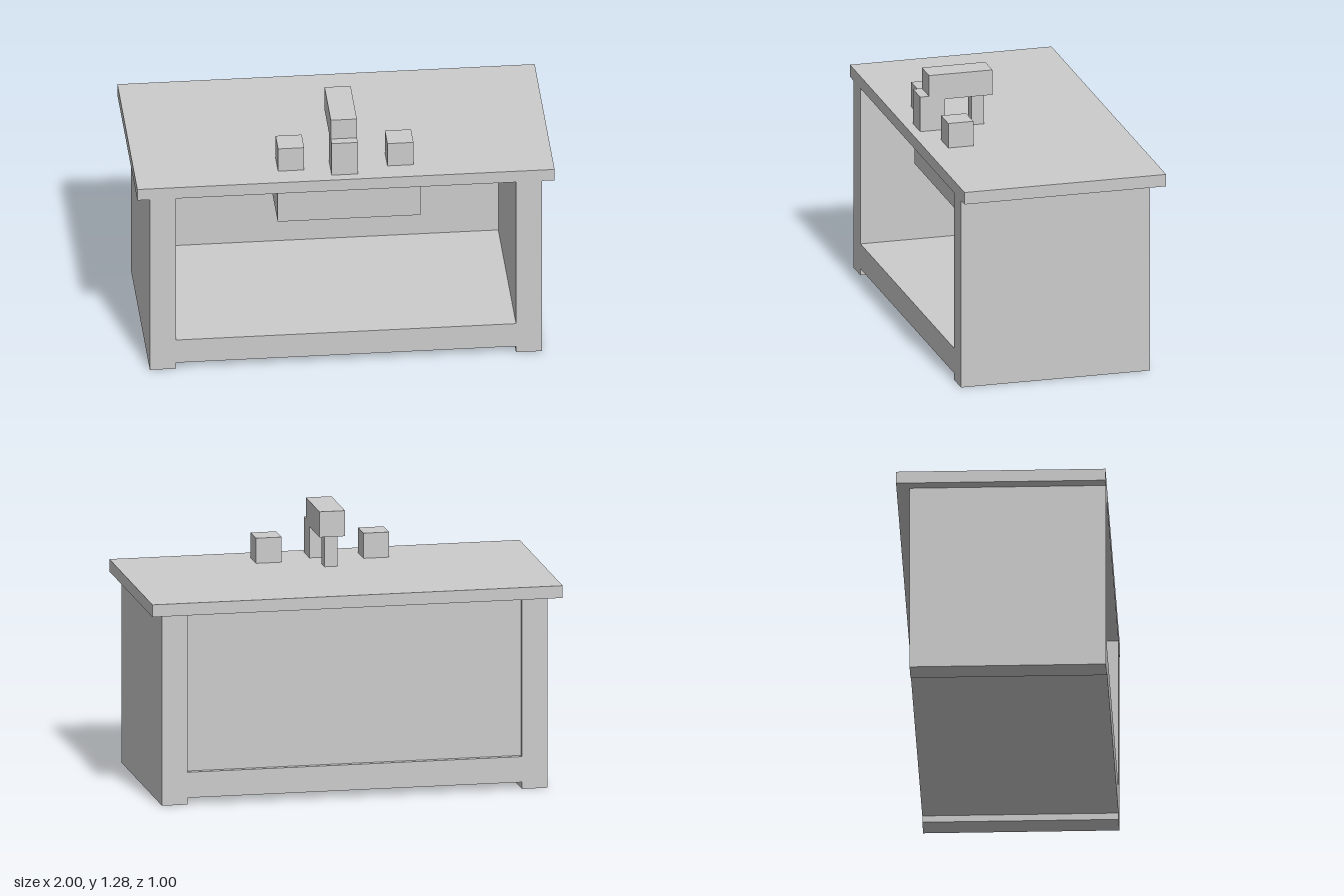
import * as THREE from 'three';

export function createModel() {
  const model = new THREE.Group();
  model.name = 'sinkCounter';
  const material = new THREE.MeshStandardMaterial({ color: 0xcccccc, flatShading: true });

  // Box given by its min and max extent on each axis
  function box(name, [x0, x1], [y0, y1], [z0, z1], parent = model) {
    const mesh = new THREE.Mesh(new THREE.BoxGeometry(x1 - x0, y1 - y0, z1 - z0), material);
    mesh.position.set((x0 + x1) / 2, (y0 + y1) / 2, (z0 + z1) / 2);
    mesh.name = name;
    parent.add(mesh);
    return mesh;
  }

  // Worktop, overhanging at the sides and back
  box('worktop', [-1, 1], [0.94, 1], [-0.5, 0.5]);

  // Cabinet: side walls standing on the ground, raised floor, recessed back
  box('rightSide', [-0.94, -0.815], [0, 0.94], [-0.4375, 0.5]);
  box('leftSide', [0.815, 0.94], [0, 0.94], [-0.4375, 0.5]);
  box('cabinetFloor', [-0.815, 0.815], [0.033, 0.158], [-0.4375, 0.5]);
  box('backPanel', [-0.815, 0.815], [0.158, 0.94], [-0.41, -0.39]);

  // Sink basin hanging under the worktop
  box('basin', [-0.315, 0.37], [0.71, 0.94], [-0.25, 0.373]);

  // Tap: column, spout and nozzle
  const tap = new THREE.Group();
  tap.name = 'tap';
  model.add(tap);
  box('tapColumn', [-0.064, 0.061], [1, 1.174], [0.33, 0.453], tap);
  box('tapSpout', [-0.064, 0.061], [1.153, 1.278], [0.095, 0.409], tap);
  box('tapNozzle', [-0.033, 0.03], [1, 1.153], [0.128, 0.19], tap);

  // Tap handles on either side
  box('rightHandle', [-0.315, -0.19], [1, 1.123], [0.267, 0.391]);
  box('leftHandle', [0.209, 0.334], [1, 1.123], [0.267, 0.391]);

  return model;
}
